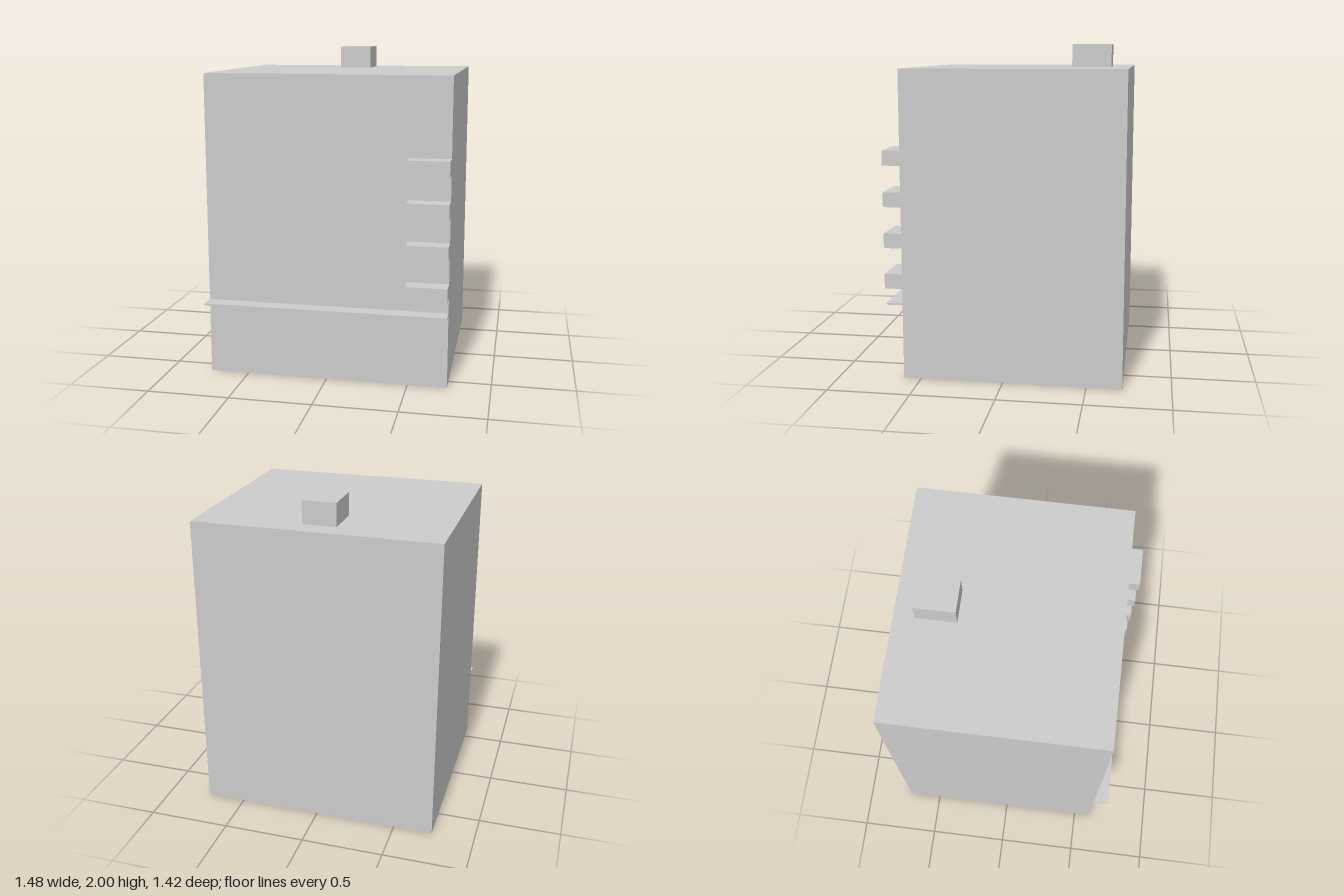
import * as THREE from 'three';

const grey = new THREE.MeshStandardMaterial({ color: 0xcccccc, side: THREE.DoubleSide });

// Box given by its lower and upper limits on each axis
function box(name, [x0, x1], [y0, y1], [z0, z1]) {
  const mesh = new THREE.Mesh(new THREE.BoxGeometry(x1 - x0, y1 - y0, z1 - z0), grey);
  mesh.position.set((x0 + x1) / 2, (y0 + y1) / 2, (z0 + z1) / 2);
  mesh.name = name;
  return mesh;
}

export function createModel() {
  const model = new THREE.Group();
  model.name = 'apartmentBuilding';
  const W = 0.74, front = 0.605, back = -0.712, floorStep = 0.247, floors = 4;

  // Hollow shell: thin walls and roof, open underneath
  const shell = box('wallsAndRoof', [-W, W], [0, 1.86], [back, front]);
  const index = Array.from(shell.geometry.index.array);
  index.splice(18, 6); // drop the bottom face
  shell.geometry.setIndex(index);
  shell.geometry.clearGroups();
  model.add(shell);

  // Rooftop hut and the canopy above the ground floor
  model.add(box('rooftopHut', [-0.102, 0.102], [1.86, 2], [-0.588, -0.342]));
  model.add(box('canopy', [-W, W], [0.455, 0.467], [front, 0.703]));

  // Panes sit behind the front wall, showing on its inner side
  const paneZ = [front - 0.033, front - 0.003];
  const shopWindows = new THREE.Group();
  shopWindows.name = 'shopWindows';
  for (let i = 0; i < 4; i++) {
    const x = -0.555 + i * 0.37;
    shopWindows.add(box('shopWindow', [x - 0.158, x + 0.158], [0.225, 0.465], paneZ));
  }
  model.add(shopWindows);

  // Upper floors: a corner balcony and three windows each
  for (let f = 0; f < floors; f++) {
    const y = f * floorStep;
    const floor = new THREE.Group();
    floor.name = 'upperFloor';
    floor.add(box('balcony', [0.492, W], [0.556 + y, 0.645 + y], [front, 0.712]));
    for (let i = 0; i < 3; i++) {
      const x = -0.485 + i * 0.363;
      floor.add(box('window', [x - 0.162, x + 0.162], [0.615 + y, 0.76 + y], paneZ));
    }
    model.add(floor);
  }
  return model;
}
